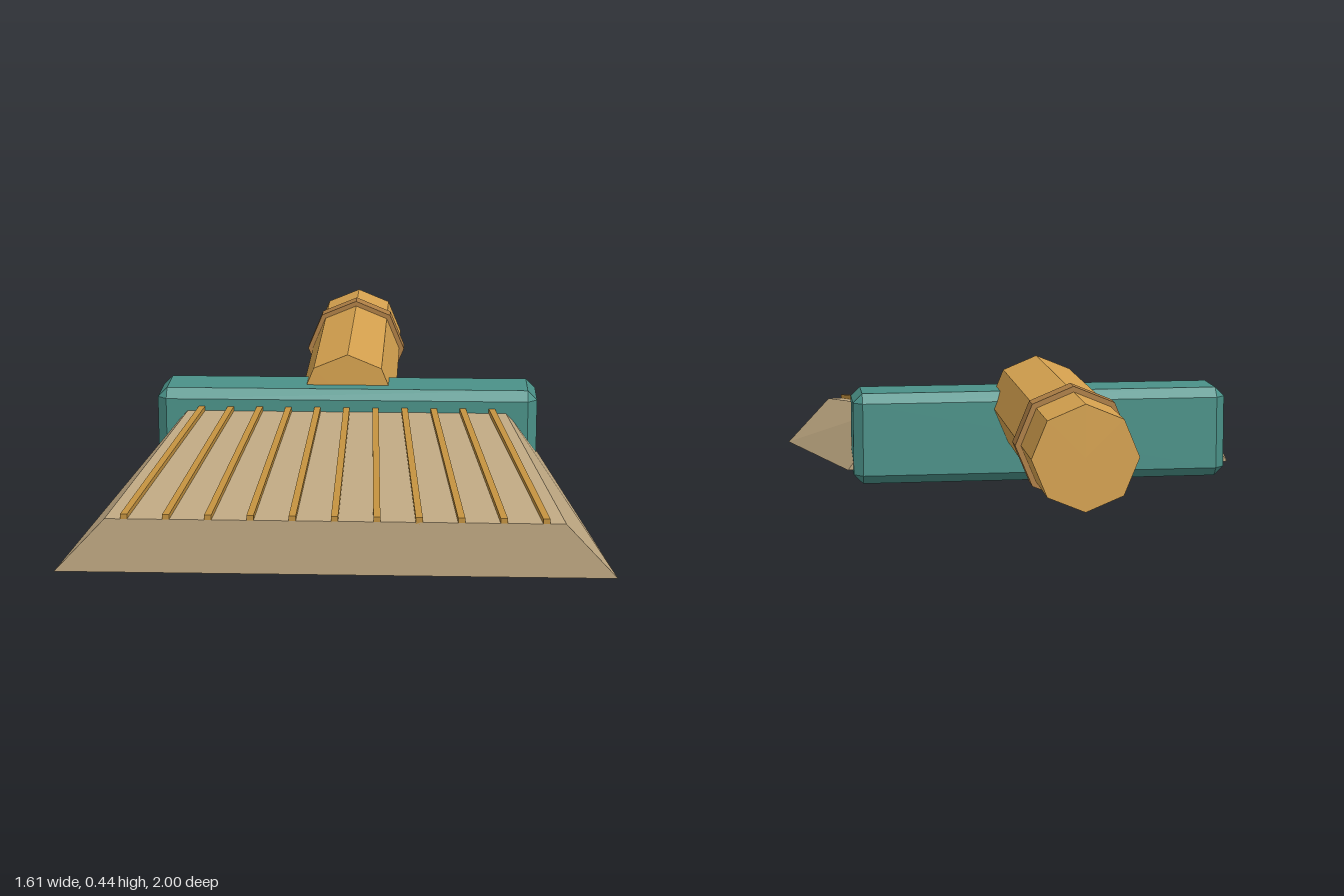
import * as THREE from 'three';
import { ConvexGeometry } from 'three/addons/geometries/ConvexGeometry.js';

const color = (name, hex) => {
  const m = new THREE.MeshStandardMaterial({ color: hex });
  m.name = name;
  return m;
};

// Flat facets: split the vertices, then take face normals
function facet(geometry) {
  const g = geometry.toNonIndexed();
  g.computeVertexNormals();
  return g;
}

// Convex solid from half of its points, mirrored across x
function mirroredHull(half) {
  const points = [];
  for (const [x, y, z] of half) {
    points.push(new THREE.Vector3(x, y, z), new THREE.Vector3(-x, y, z));
  }
  return new ConvexGeometry(points);
}

// Box with flat chamfers on every edge
function chamferedBox(w, h, d, c) {
  const half = [];
  for (const sy of [-1, 1]) for (const sz of [-1, 1]) {
    const x = w / 2, y = sy * h / 2, z = sz * d / 2;
    half.push([x, y - sy * c, z - sz * c], [x - c, y, z - sz * c], [x - c, y - sy * c, z]);
  }
  return mirroredHull(half);
}

// Eight-sided rod lying along z
function rod(radius, zBack, zFront) {
  const g = new THREE.CylinderGeometry(radius, radius, zFront - zBack, 8);
  g.rotateX(Math.PI / 2);
  g.translate(0, 0.273, (zBack + zFront) / 2);
  return facet(g);
}

export function createModel() {
  const model = new THREE.Group();
  model.name = 'broomHead';

  const wood = color('handle wood', 0xd6a24f);
  const darkWood = color('collar wood', 0xaf7f45);
  const teal = color('teal block', 0x4a9188);
  const straw = color('straw', 0xbfa882);
  const strand = color('strand', 0xc2913f);

  const add = (name, geometry, material, parent = model) => {
    const mesh = new THREE.Mesh(geometry, material);
    mesh.name = name;
    parent.add(mesh);
    return mesh;
  };

  // Handle stub and its collar
  add('handle', rod(0.155, -1, 0.073), wood);
  add('collar', rod(0.172, -0.766, -0.696), darkWood);

  // Block holding the bristles
  add('block', chamferedBox(1.22, 0.295, 0.222, 0.03), teal).position.set(0, 0.18, 0.045);

  // Flared bristle wedge
  add('bristles', mirroredHull([
    [0.805, 0, 1], [0.655, 0.16, 1],
    [0.48, 0.28, -0.02], [0.628, 0.075, -0.02],
  ]), straw);

  // Fanned strands lying on the sloping top
  const strands = new THREE.Group();
  strands.name = 'strands';
  model.add(strands);
  for (let i = -5; i <= 5; i++) {
    const start = [i * 0.12, 0.163, 1], end = [i * 0.0905, 0.272, 0.08];
    const points = [];
    for (const [x, y, z] of [start, end]) {
      for (const sx of [-1, 1]) for (const sy of [-1, 1]) {
        points.push(new THREE.Vector3(x + sx * 0.01, y + sy * 0.011, z));
      }
    }
    add('strand', new ConvexGeometry(points), strand, strands);
  }

  return model;
}
